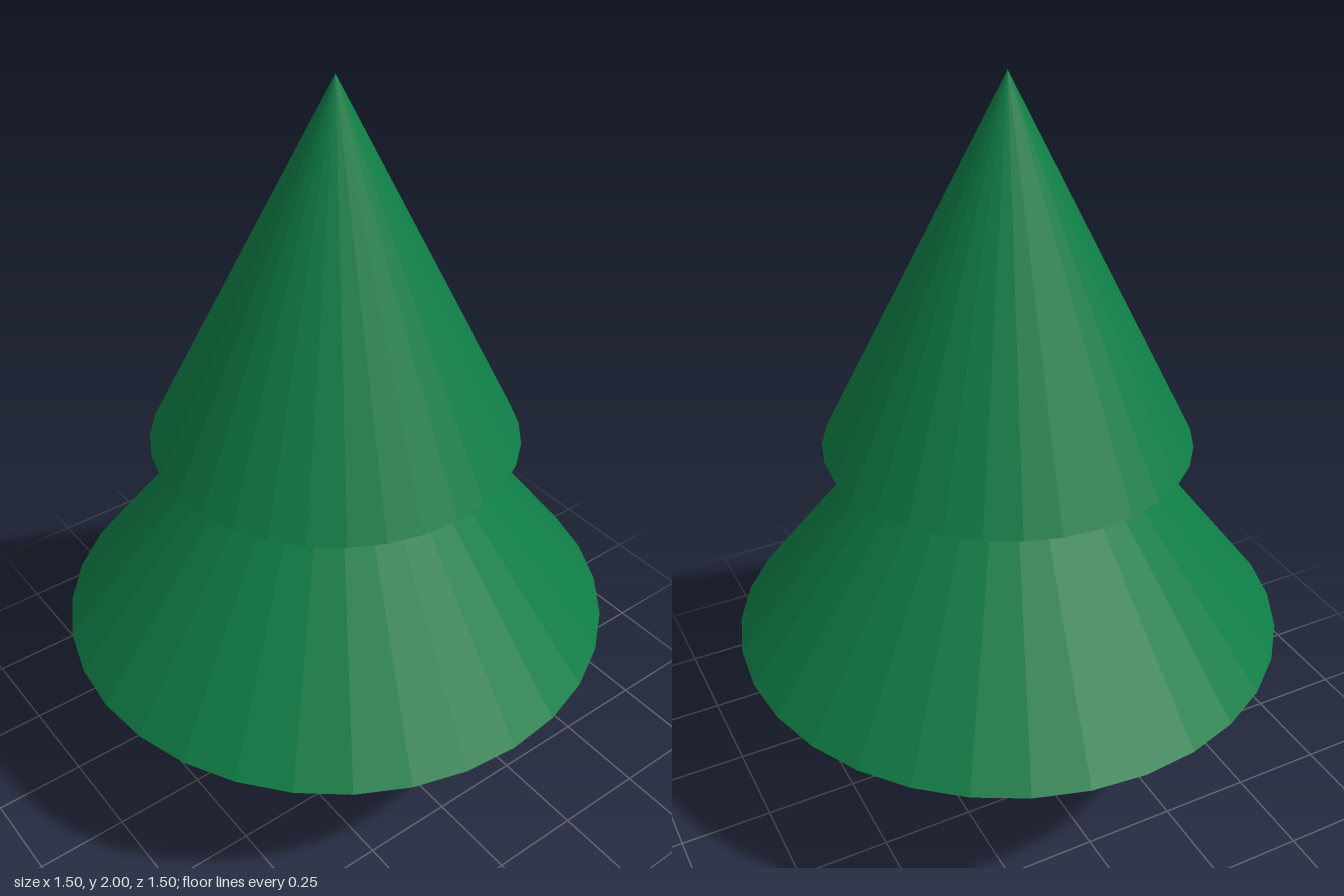
import * as THREE from 'three';

const SIDES = 32;

function material(color) {
  return new THREE.MeshStandardMaterial({ color, flatShading: true });
}

// Closed round part standing on y = base
function addPart(group, name, geometry, mat, base, height) {
  const mesh = new THREE.Mesh(geometry, mat);
  mesh.name = name;
  mesh.position.y = base + height / 2;
  group.add(mesh);
}

export function createModel() {
  const tree = new THREE.Group();
  tree.name = 'tree';
  const green = material(0x0f7d46);
  const bark = material(0xb03626);

  // Trunk
  addPart(tree, 'trunk', new THREE.CylinderGeometry(0.094, 0.094, 0.47, SIDES), bark, 0, 0.47);

  // Two overlapping cones of foliage, equally tall
  const tiers = [
    { name: 'lowerFoliage', radius: 0.75, base: 0.468 },
    { name: 'upperFoliage', radius: 0.487, base: 1.03 },
  ];
  const height = 0.97;
  for (const { name, radius, base } of tiers) {
    addPart(tree, name, new THREE.ConeGeometry(radius, height, SIDES), green, base, height);
  }
  return tree;
}
